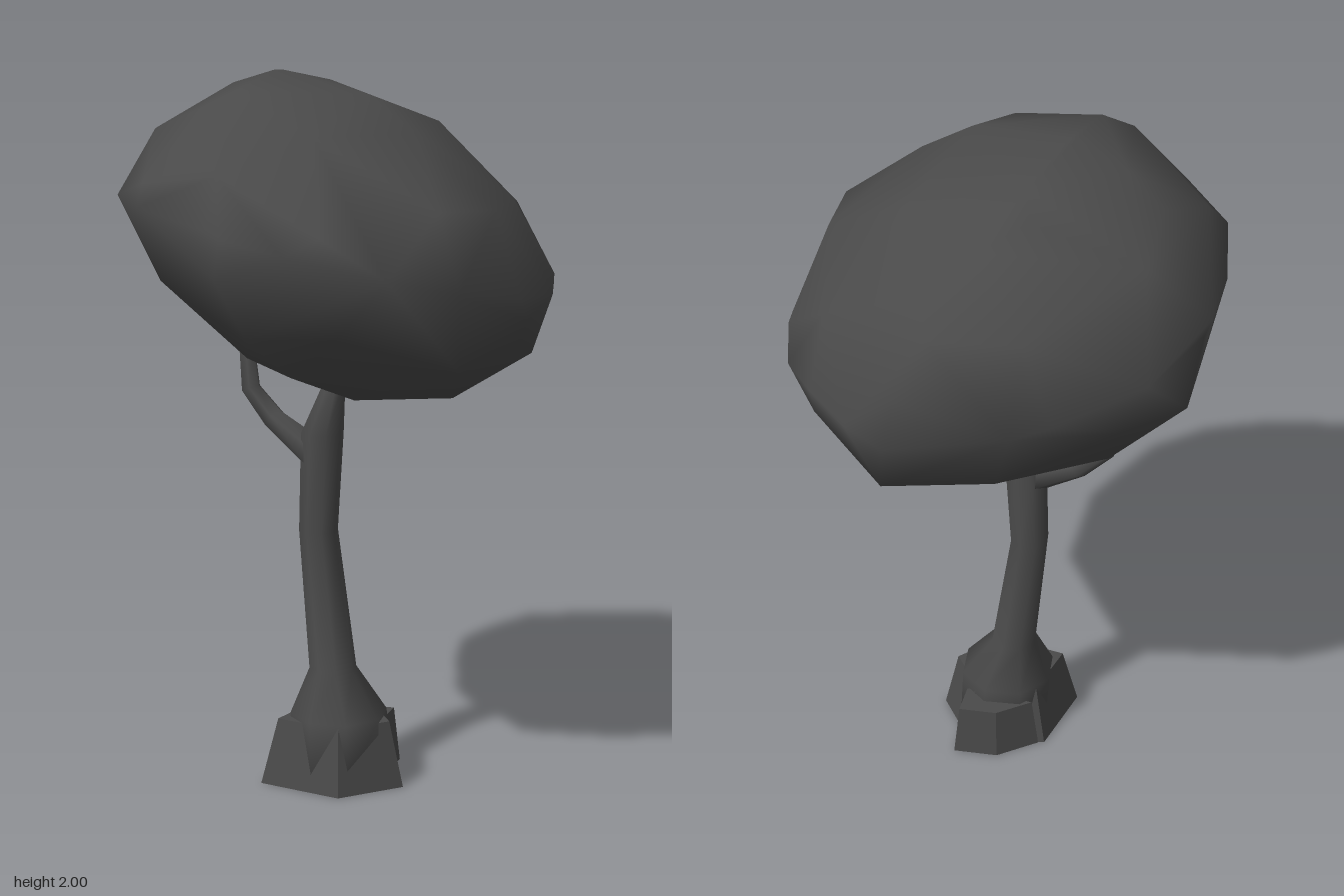
import * as THREE from 'three';
import { mergeVertices } from 'three/addons/utils/BufferGeometryUtils.js';
import { ConvexGeometry } from 'three/addons/geometries/ConvexGeometry.js';

const MIDDLE = 1.54; // height of the crown's centre
const material = new THREE.MeshStandardMaterial({ color: 0x4a4a4a });
const stoneMaterial = new THREE.MeshStandardMaterial({ color: 0x4a4a4a, flatShading: true });

function part(name, geometry, mat = material) {
  const mesh = new THREE.Mesh(geometry, mat);
  mesh.name = name;
  return mesh;
}

// Skin over round cross-sections [x, y, z, radius, tilt], closed at both ends
function limb(rings, sides = 8) {
  const pos = [], index = [];
  for (const [x, y, z, r, tilt = 0] of rings) {
    for (let j = 0; j < sides; j++) {
      const t = (j / sides) * Math.PI * 2, u = r * Math.cos(t);
      pos.push(x + u * Math.cos(tilt), y + u * Math.sin(tilt), z + r * Math.sin(t));
    }
  }
  const last = (rings.length - 1) * sides, n = rings.length * sides;
  pos.push(...rings[0].slice(0, 3), ...rings[rings.length - 1].slice(0, 3));
  for (let j = 0; j < sides; j++) {
    const k = (j + 1) % sides;
    for (let b = 0; b < last; b += sides) {
      index.push(b + j, b + sides + j, b + k, b + k, b + sides + j, b + sides + k);
    }
    index.push(n, j, k, n + 1, last + k, last + j);
  }
  const g = new THREE.BufferGeometry();
  g.setAttribute('position', new THREE.Float32BufferAttribute(pos, 3));
  g.setIndex(index);
  g.computeVertexNormals();
  return g;
}

// Faceted stone: a footprint [x, z] tapering towards its top
function stone(footprint, height, taper, cx, cz) {
  const points = [];
  for (const [x, z] of footprint) {
    points.push(new THREE.Vector3(x, 0, z));
    points.push(new THREE.Vector3(cx + (x - cx) * taper, height, cz + (z - cz) * taper));
  }
  return new ConvexGeometry(points);
}

// Leaning, rounded crown: hull of three outlines and a tilted ellipsoid
function crownGeometry() {
  const frontOutline = [ // x, y
    [-0.15, 2], [0.16, 1.95], [0.53, 1.67], [0.59, 1.38], [0.55, 1.31], [0.42, 1.21], [0.27, 1.12],
    [0.04, 1.09], [-0.37, 1.2], [-0.57, 1.41], [-0.6, 1.66], [-0.42, 1.89],
  ];
  const sideOutline = [ // z, y
    [0.09, 2], [0.31, 1.96], [0.5, 1.8], [0.58, 1.63], [0.59, 1.51], [0.52, 1.35], [0.37, 1.23],
    [0.12, 1.13], [-0.14, 1.09], [-0.37, 1.12], [-0.51, 1.21], [-0.59, 1.4], [-0.52, 1.72],
    [-0.34, 1.89], [-0.12, 1.96],
  ];
  const topOutline = [ // x, z
    [0.13, -0.59], [0.3, -0.49], [0.43, -0.4], [0.55, -0.2], [0.595, 0.03], [0.56, 0.26],
    [0.45, 0.42], [0.22, 0.55], [0.05, 0.59], [-0.28, 0.525], [-0.44, 0.42], [-0.55, 0.19],
    [-0.6, -0.04], [-0.56, -0.265], [-0.4, -0.465], [-0.32, -0.535],
  ];
  const points = [
    ...frontOutline.map(([x, y]) => new THREE.Vector3(x, y, 0.04 * x + 0.24 * (y - MIDDLE))),
    ...sideOutline.map(([z, y]) => new THREE.Vector3(0.04 * z - 0.3 * (y - MIDDLE), y, z)),
    ...topOutline.map(([x, z]) => new THREE.Vector3(x, MIDDLE - 0.17 * x + 0.14 * z, z)),
  ];
  const ball = mergeVertices(new THREE.IcosahedronGeometry(0.97, 1).deleteAttribute('uv').deleteAttribute('normal'));
  const p = ball.attributes.position;
  for (let i = 0; i < p.count; i++) {
    const x = p.getX(i), y = p.getY(i), z = p.getZ(i);
    points.push(new THREE.Vector3(0.6 * x, MIDDLE - 0.1 * x + 0.444 * y, 0.108 * y + 0.58 * z));
  }
  const hull = mergeVertices(new ConvexGeometry(points).deleteAttribute('normal'));
  hull.computeVertexNormals();
  return hull;
}

export function createModel() {
  const tree = new THREE.Group();
  tree.name = 'tree';

  tree.add(part('crown', crownGeometry()));

  // Trunk with flared foot and a slight bend
  tree.add(part('trunk', limb([
    [0.02, 0.02, 0.035, 0.14],
    [0.012, 0.2, 0.035, 0.138],
    [-0.012, 0.325, 0.03, 0.067],
    [-0.062, 0.72, 0.03, 0.055],
    [-0.048, 1.0, 0.03, 0.06],
    [-0.005, 1.15, 0.03, 0.03],
  ])));

  // Side branch, elbowed up into the crown
  tree.add(part('branch', limb([
    [-0.05, 0.93, 0.035, 0.05, 1.05],
    [-0.205, 1.02, 0.045, 0.034, 0.95],
    [-0.285, 1.1, 0.05, 0.028, 0.4],
    [-0.298, 1.22, 0.05, 0.023, 0],
  ], 6)));

  // Stones round the foot
  tree.add(part('largeStone', stone(
    [[-0.135, 0.205], [0.11, 0.17], [0.205, -0.01], [0.06, -0.12], [-0.145, -0.02]], 0.19, 0.78, 0.02, 0.04,
  ), stoneMaterial));
  tree.add(part('smallStone', stone(
    [[0.07, -0.185], [-0.05, -0.14], [-0.13, -0.03], [0.1, -0.08]], 0.16, 0.85, 0, -0.08,
  ), stoneMaterial));

  return tree;
}
